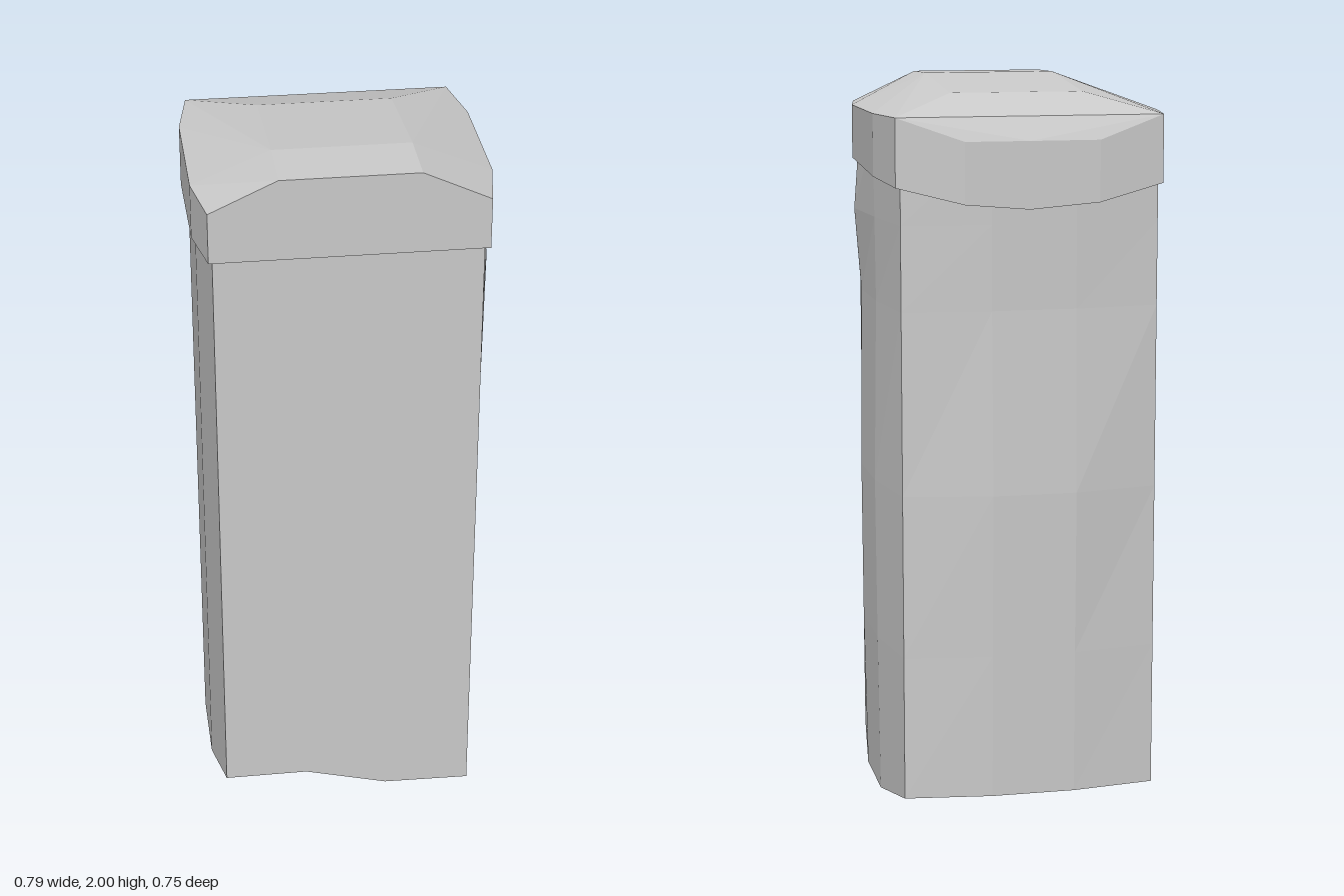
import * as THREE from 'three';
import { ConvexGeometry } from 'three/addons/geometries/ConvexGeometry.js';

const stone = new THREE.MeshStandardMaterial({ color: 0xcccccc, flatShading: true });

// Rough shaft: a segmented box whose grid points are moved to hewn positions
function createShaft() {
  const xs = [-0.36, -0.13, 0.1, 0.34];
  const zs = [-0.33, -0.1, 0.13, 0.37];
  const rows = [0, 0.45, 0.9, 1.4, 1.63, 1.85];
  // underside heights, [x][z], back to front
  const foot = [
    [0.05, 0.03, 0.03, 0.115],
    [0.05, 0.055, 0.055, 0.115],
    [0.05, 0.055, 0.055, 0.055],
    [0.05, 0.005, 0.005, 0.05],
  ];
  // bulge of each row on the right side (back, front column) and on the back
  const right = [[0.37, 0.37], [0.375, 0.378], [0.378, 0.38], [0.37, 0.374], [0.372, 0.392], [0.375, 0.375]];
  const back = [-0.36, -0.365, -0.374, -0.358, -0.36, -0.362];

  const geo = new THREE.BoxGeometry(3, 5, 3, 3, 5, 3);
  const pos = geo.attributes.position;
  for (let n = 0; n < pos.count; n++) {
    const i = Math.round(pos.getX(n) + 1.5);
    const j = Math.round(pos.getY(n) + 2.5);
    const k = Math.round(pos.getZ(n) + 1.5);
    const midX = i === 1 || i === 2;
    const midZ = k === 1 || k === 2;
    let x = xs[i];
    let z = zs[k];
    if (midZ && i === 0) x = -0.385;
    if (midZ && i === 3) x = right[j][k - 1];
    if (midX && k === 0) z = back[j];
    pos.setXYZ(n, x, j === 0 ? foot[i][k] : rows[j], z);
  }
  const flat = geo.toNonIndexed();
  flat.computeVertexNormals();
  const mesh = new THREE.Mesh(flat, stone);
  mesh.name = 'shaft';
  return mesh;
}

// Cap stone: hull of the crown, the rim and the lower edge
function createCap() {
  const pts = [];
  const add = (x, y, z) => pts.push(new THREE.Vector3(x, y, z));
  // crown ridge points
  for (const x of [-0.19, 0.175]) {
    add(x, 1.965, -0.167);
    add(x, 2, 0.2);
    add(x, 1.996, 0.375);
  }
  // side walls: left and right, [z, bulge, lower edge]
  for (const [x, s] of [[-0.37, -1], [0.355, 1]]) {
    for (const [z, out, low] of [[-0.345, 0, 1.73], [-0.167, 0.03, 1.745], [0.2, 0.03, 1.765], [0.375, 0, 1.775]]) {
      add(x + s * out, 1.913, z);
      add(x + s * out, low, z);
    }
  }
  // bowed back wall
  for (const [x, z, low] of [[-0.19, -0.374, 1.685], [0, -0.377, 1.67], [0.175, -0.374, 1.685]]) {
    add(x, 1.85, z);
    add(x, low, z);
  }
  const mesh = new THREE.Mesh(new ConvexGeometry(pts), stone);
  mesh.name = 'capStone';
  return mesh;
}

export function createModel() {
  const group = new THREE.Group();
  group.name = 'stonePillar';
  group.add(createShaft(), createCap());
  return group;
}
